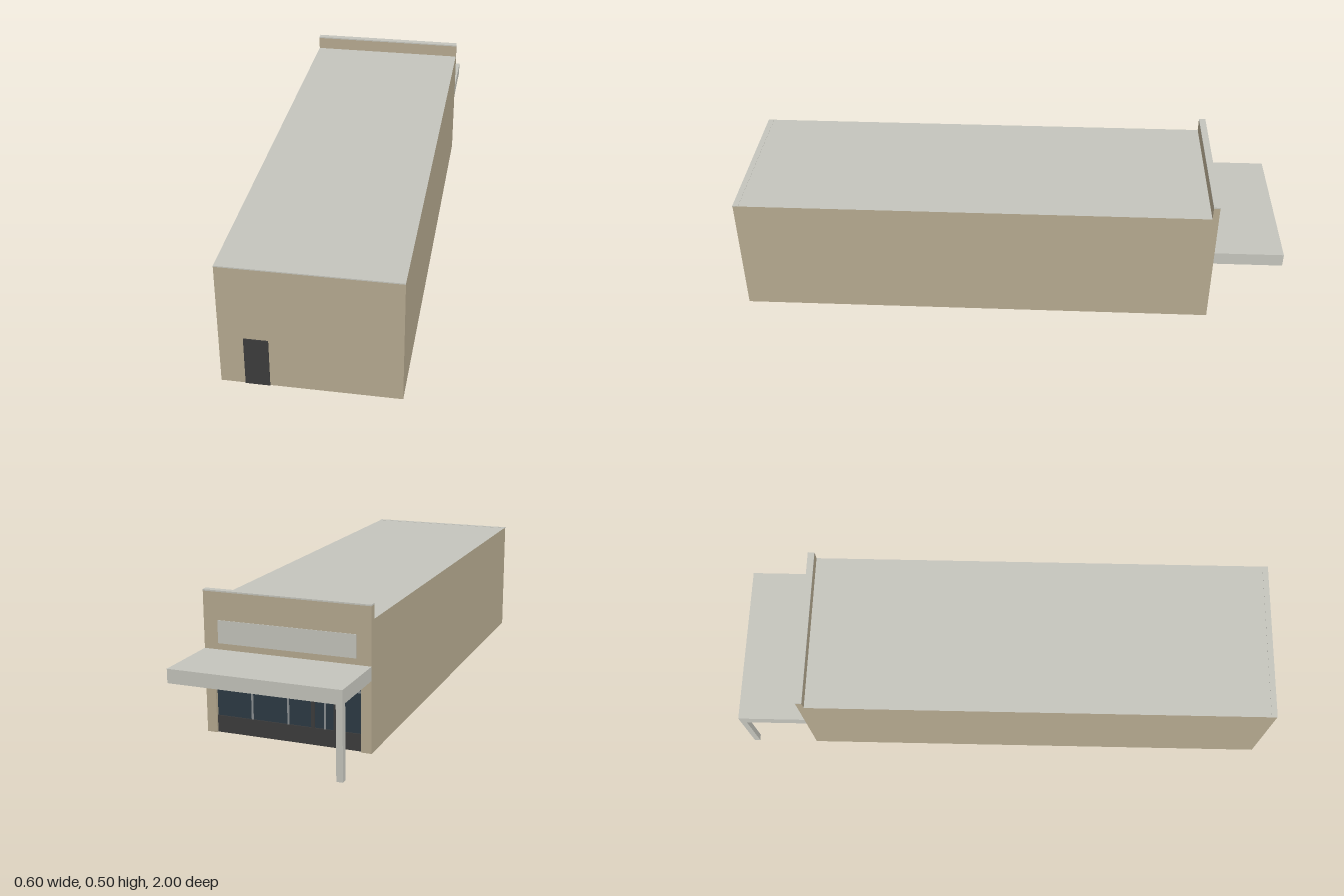
import * as THREE from 'three';

const mat = (color, side = THREE.FrontSide) =>
  new THREE.MeshStandardMaterial({ color, side, flatShading: true });

export function createModel() {
  const model = new THREE.Group();
  model.name = 'shopBuilding';

  const wall = mat(0xb5a98f);
  const wallSheet = mat(0xb5a98f, THREE.DoubleSide);
  const pale = mat(0xc4c4bc);
  const paleSheet = mat(0xc4c4bc, THREE.DoubleSide);
  const dark = mat(0x3c3c3c);
  const glass = mat(0x2c3a44);
  const metal = mat(0x8a8f92);

  const add = (parent, name, geometry, material) => {
    const mesh = new THREE.Mesh(geometry, material);
    mesh.name = name;
    parent.add(mesh);
    return mesh;
  };
  // box given by its limits on each axis
  const box = (parent, name, material, [x0, x1], [y0, y1], [z0, z1]) =>
    add(parent, name, new THREE.BoxGeometry(x1 - x0, y1 - y0, z1 - z0), material)
      .position.set((x0 + x1) / 2, (y0 + y1) / 2, (z0 + z1) / 2);

  const W = 0.3, H = 0.45, FRONT = 0.997, BACK = -0.75, INNER = -0.727;
  const length = FRONT - INNER, midZ = (FRONT + INNER) / 2;

  // hall: thin walls and roof, open underneath
  for (const s of [-1, 1]) {
    const side = add(model, s > 0 ? 'leftWall' : 'rightWall',
      new THREE.PlaneGeometry(length, H), wallSheet);
    side.rotation.y = s * Math.PI / 2;
    side.position.set(s * W, H / 2, midZ);
  }
  add(model, 'frontWall', new THREE.PlaneGeometry(2 * W, H), wallSheet)
    .position.set(0, H / 2, FRONT);
  const roof = add(model, 'roof', new THREE.PlaneGeometry(2 * W, length), paleSheet);
  roof.rotation.x = -Math.PI / 2;
  roof.position.set(0, H, midZ);
  box(model, 'roofEdge', pale, [-W, W], [H - 0.003, H + 0.001], [FRONT - 0.02, FRONT + 0.001]);
  box(model, 'serviceDoor', dark, [-0.218, -0.136], [0, 0.18], [FRONT - 0.003, 1]);

  // shop facade with parapet, notched for the glazing
  const open = 0.264, top = 0.25;
  const outline = new THREE.Shape([
    [-W, 0], [-open, 0], [-open, top], [open, top], [open, 0], [W, 0], [W, 0.497], [-W, 0.497],
  ].map(([x, y]) => new THREE.Vector2(x, y)));
  add(model, 'facade', new THREE.ExtrudeGeometry(outline,
    { depth: INNER - BACK, bevelEnabled: false }), wall).position.z = BACK;
  box(model, 'parapetCoping', pale, [-W, W], [0.497, 0.502], [BACK - 0.002, INNER]);
  box(model, 'signPanel', pale, [-0.248, 0.248], [0.32, 0.4], [BACK - 0.002, BACK + 0.005]);

  // shopfront glazing
  const shopfront = new THREE.Group();
  shopfront.name = 'shopfront';
  model.add(shopfront);
  box(shopfront, 'glass', glass, [-open, open], [0.06, top], [-0.738, -0.732]);
  box(shopfront, 'kickPlate', dark, [-open, open], [0, 0.06], [-0.742, -0.73]);
  for (const x of [-0.1325, 0, 0.1325])
    box(shopfront, 'mullion', metal, [x - 0.003, x + 0.003], [0.06, top], [-0.742, -0.73]);
  box(shopfront, 'transom', metal, [-open, open], [0.2, 0.205], [-0.742, -0.73]);
  for (const x of [-0.17, -0.09])
    box(shopfront, 'doorPost', dark, [x - 0.006, x + 0.006], [0.06, 0.2], [-0.743, -0.729]);

  // entrance canopy on a single corner post
  box(model, 'canopy', pale, [-W, W], [top, 0.298], [-1, BACK]);
  box(model, 'canopyPost', pale, [-W, -W + 0.022], [0, top], [-1, -0.978]);

  return model;
}
